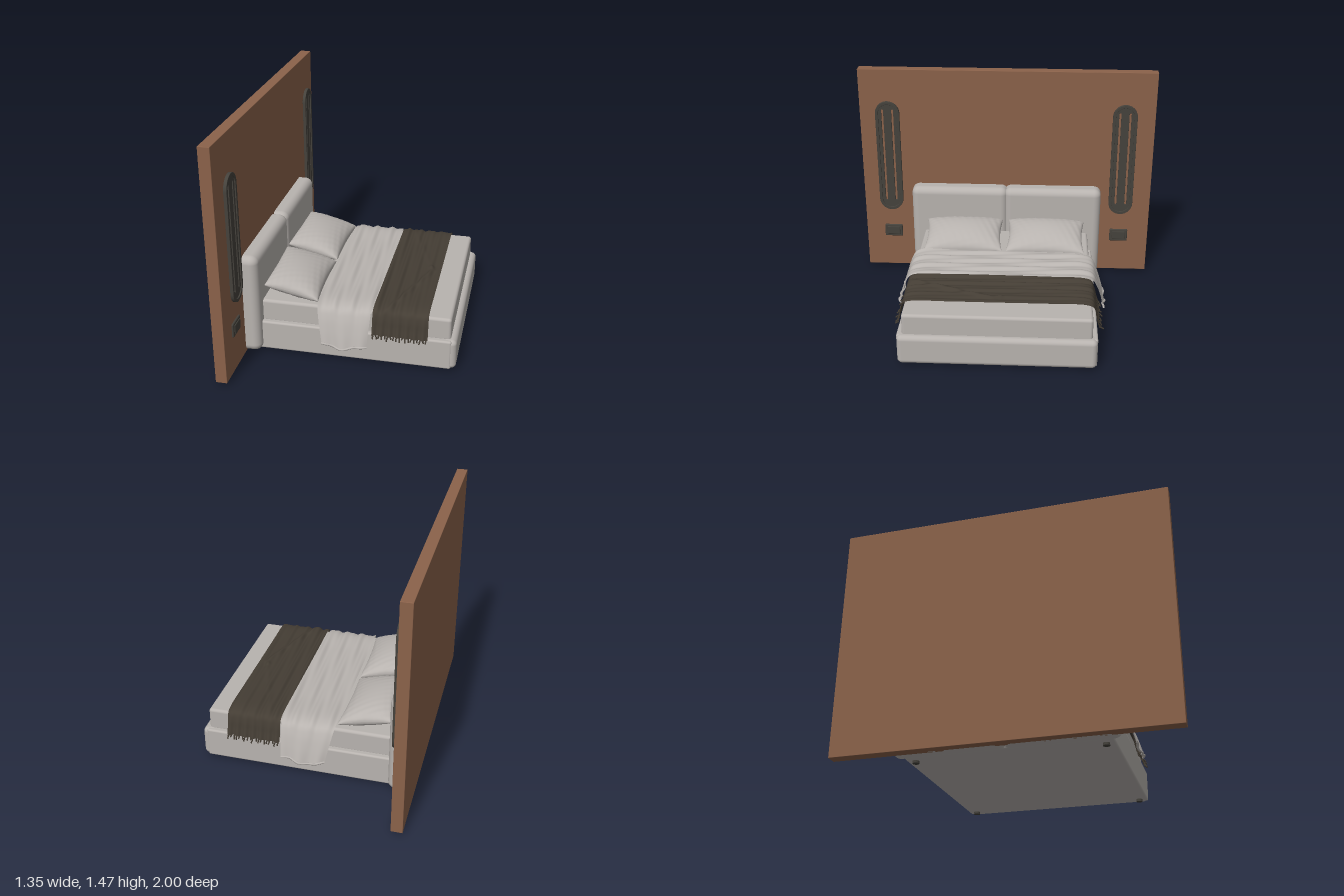
import * as THREE from 'three';
import { mergeGeometries } from 'three/addons/utils/BufferGeometryUtils.js';
import { RoundedBoxGeometry } from 'three/addons/geometries/RoundedBoxGeometry.js';
import { ParametricGeometry } from 'three/addons/geometries/ParametricGeometry.js';

const material = (name, color, side = THREE.FrontSide) => {
  const m = new THREE.MeshStandardMaterial({ color, side });
  m.name = name;
  return m;
};

export function createModel() {
  const model = new THREE.Group();
  model.name = 'bed';
  const wood = material('brown wood', 0x8b624a);
  const fabric = material('warm grey upholstery', 0xb8b3af);
  const linen = material('grey linen', 0xb8b3af, THREE.DoubleSide);
  const wool = material('dark wool', 0x443d34, THREE.DoubleSide);
  const metal = material('dark metal', 0x45423c);

  const add = (name, geometry, mat, parent = model) => {
    const mesh = new THREE.Mesh(geometry, mat);
    mesh.name = name;
    parent.add(mesh);
    return mesh;
  };
  // Rounded box given by its two extreme corners
  const block = (name, [x0, y0, z0], [x1, y1, z1], r, mat, parent) => {
    const mesh = add(name, new RoundedBoxGeometry(x1 - x0, y1 - y0, z1 - z0, 4, r), mat, parent);
    mesh.position.set((x0 + x1) / 2, (y0 + y1) / 2, (z0 + z1) / 2);
    return mesh;
  };
  // Smooth sheet: f(a, b, target), a runs along z and b along x
  const sheet = (f, na, nb) => {
    const g = new ParametricGeometry(f, na, nb);
    g.computeVertexNormals();
    return g;
  };

  // Wall panel and upholstered frame
  block('wallPanel', [-0.675, 0.01, -1], [-0.605, 1.47, 1], 0.003, wood);
  block('headboardLeftHalf', [-0.67, 0.01, -0.655], [-0.51, 0.655, 0.012], 0.048, fabric);
  block('headboardRightHalf', [-0.67, 0.01, -0.012], [-0.51, 0.655, 0.655], 0.048, fabric);
  block('bedBase', [-0.55, 0.015, -0.603], [0.645, 0.205, 0.603], 0.012, fabric);
  block('footRail', [0.585, 0.015, -0.6], [0.675, 0.207, 0.6], 0.03, fabric);
  block('mattress', [-0.53, 0.19, -0.57], [0.638, 0.337, 0.57], 0.018, fabric);
  for (const x of [-0.48, 0.6]) for (const z of [-0.55, 0.55]) {
    add('foot', new THREE.CylinderGeometry(0.02, 0.02, 0.02, 16), metal).position.set(x, 0.01, z);
  }

  // Pillows: two puffed sheets meeting at a pinched seam
  const pillowSide = (sign) => sheet((u, v, p) => {
    const a = Math.sin((u - 0.5) * Math.PI), b = Math.sin((v - 0.5) * Math.PI);
    const puff = Math.pow(Math.max(0, (1 - a * a) * (1 - b * b)), 0.42);
    const edge = Math.max(a * a, b * b);
    const wrinkle = 0.003 * edge * puff * (Math.sin(a * 31 + b * 9) + Math.sin(b * 27 - a * 8));
    const y = 0.386 - 0.038 * b + sign * 0.078 * puff + wrinkle;
    p.set(0.165 * b * (1 - 0.07 * (1 - a * a)), Math.max(y, 0.336), 0.262 * a * (1 - 0.06 * (1 - b * b)));
  }, 44, 36);
  for (const s of [-1, 1]) {
    const pillow = add('pillow', mergeGeometries([pillowSide(1), pillowSide(-1)]), linen);
    pillow.position.set(-0.345, 0, s * 0.278);
    pillow.rotation.y = s * 0.02;
  }

  // Cloth laid over the mattress; profile is half of its [z, y] section
  const drape = (profile, shape) => {
    const curve = new THREE.CatmullRomCurve3(profile.map(([z, y]) => new THREE.Vector3(0, y, z)));
    const top = profile[0][1];
    return (a, b, p) => {
      const s = a * 2 - 1;
      curve.getPointAt(Math.min(1, Math.abs(s)), p);
      p.z *= s < 0 ? -1 : 1;
      const fall = THREE.MathUtils.clamp((top - p.y) / (top - profile.at(-1)[1]), 0, 1);
      shape(p, b, fall, Math.sign(s));
      return p;
    };
  };

  // Pale blanket, narrowing and flaring where it hangs
  const blanketAt = drape(
    [[0, 0.358], [0.3, 0.358], [0.53, 0.356], [0.585, 0.335], [0.61, 0.29], [0.635, 0.21], [0.655, 0.125]],
    (p, b, fall, side) => {
      const ripple = Math.sin(b * 21 + p.z * 3) + 0.6 * Math.sin(b * 38 - p.z * 7);
      p.x = THREE.MathUtils.lerp(-0.17 + 0.045 * fall, 0.162 - 0.015 * fall, b);
      p.y += 0.0055 * ripple * (1 - fall) + 0.012 * fall * Math.cos(b * 7);
      p.z += side * fall * (0.012 * Math.sin(b * Math.PI) + 0.007 * Math.sin(b * 15 + side));
    });
  add('blanket', sheet(blanketAt, 110, 40), linen);
  // Rolled hems at the hanging ends
  for (const a of [0, 1]) {
    const points = Array.from({ length: 16 }, (_, i) => blanketAt(a, i / 15, new THREE.Vector3()).clone());
    add('blanketHem', new THREE.TubeGeometry(new THREE.CatmullRomCurve3(points), 40, 0.007, 8), linen);
  }

  // Dark throw with long folds and one slanting crease
  const throwAt = drape(
    [[0, 0.361], [0.3, 0.361], [0.53, 0.358], [0.575, 0.342], [0.592, 0.3], [0.602, 0.25], [0.616, 0.203]],
    (p, b, fall, side) => {
      p.x = THREE.MathUtils.lerp(0.17, 0.505, b);
      const bend = p.z * 2.2;
      const folds = Math.sin(b * 27 + bend) + 0.7 * Math.sin(b * 49 - bend * 1.6);
      const crease = Math.exp(-Math.pow((b - 0.85 + Math.abs(p.z - 0.03) * 1.1) / 0.05, 2));
      p.y += (1 - fall) * (0.006 * folds * (1 - 0.6 * b) + (p.z > -0.02 ? 0.01 : 0.003) * crease);
      p.z += side * fall * 0.007 * Math.sin(b * 42 + side);
    });
  add('throw', sheet(throwAt, 110, 60), wool);

  // Fringe tassels along both ends of the throw
  const tassels = [];
  for (const a of [0, 1]) for (let i = 0; i < 19; i++) {
    const start = throwAt(a, (i + 0.5) / 19, new THREE.Vector3()).clone();
    const end = start.clone();
    end.x += 0.005 * Math.sin(i * 2.3);
    end.y -= 0.016 + 0.005 * Math.sin(i * 1.7);
    end.z += (a ? 1 : -1) * (0.012 + 0.008 * Math.sin(i * 2.9));
    tassels.push(new THREE.TubeGeometry(new THREE.LineCurve3(start, end), 2, 0.0045, 6));
  }
  add('throwFringe', mergeGeometries(tassels), wool);

  // Pill outline, used for the wall lamps
  const pill = (Type, w, y0, y1, cx = 0) => {
    const s = new Type();
    s.absarc(cx, y1 - w, w, 0, Math.PI, false);
    s.absarc(cx, y0 + w, w, Math.PI, Math.PI * 2, false);
    s.closePath();
    return s;
  };
  const extrude = (shape, depth) => new THREE.ExtrudeGeometry(shape, {
    depth, bevelEnabled: true, bevelSize: 0.002, bevelThickness: 0.002, bevelSegments: 2, curveSegments: 20,
  }).rotateY(Math.PI / 2);

  // Wall lamps and switches beside the headboard
  for (const z of [-0.795, 0.808]) {
    const lamp = new THREE.Group();
    lamp.name = 'wallLamp';
    lamp.position.z = z;
    model.add(lamp);
    const plate = pill(THREE.Shape, 0.078, 0.465, 1.25);
    for (const cx of [-0.034, 0.034]) plate.holes.push(pill(THREE.Path, 0.009, 0.53, 1.2, cx));
    add('lampPlate', extrude(plate, 0.008), metal, lamp).position.x = -0.588;
    const rim = pill(THREE.Shape, 0.08, 0.463, 1.252);
    rim.holes.push(pill(THREE.Path, 0.064, 0.479, 1.236));
    add('lampRim', extrude(rim, 0.016), metal, lamp).position.x = -0.589;
    for (const y of [0.56, 1.15]) {
      const post = add('lampPost', new THREE.CylinderGeometry(0.008, 0.008, 0.022, 12), metal, lamp);
      post.rotation.z = Math.PI / 2;
      post.position.set(-0.596, y, 0);
    }
    block('wallSwitch', [-0.61, 0.24, z - 0.063], [-0.594, 0.33, z + 0.063], 0.0079, metal);
    block('switchKey', [-0.6, 0.255, z - 0.045], [-0.589, 0.315, z + 0.045], 0.005, metal);
  }
  return model;
}
